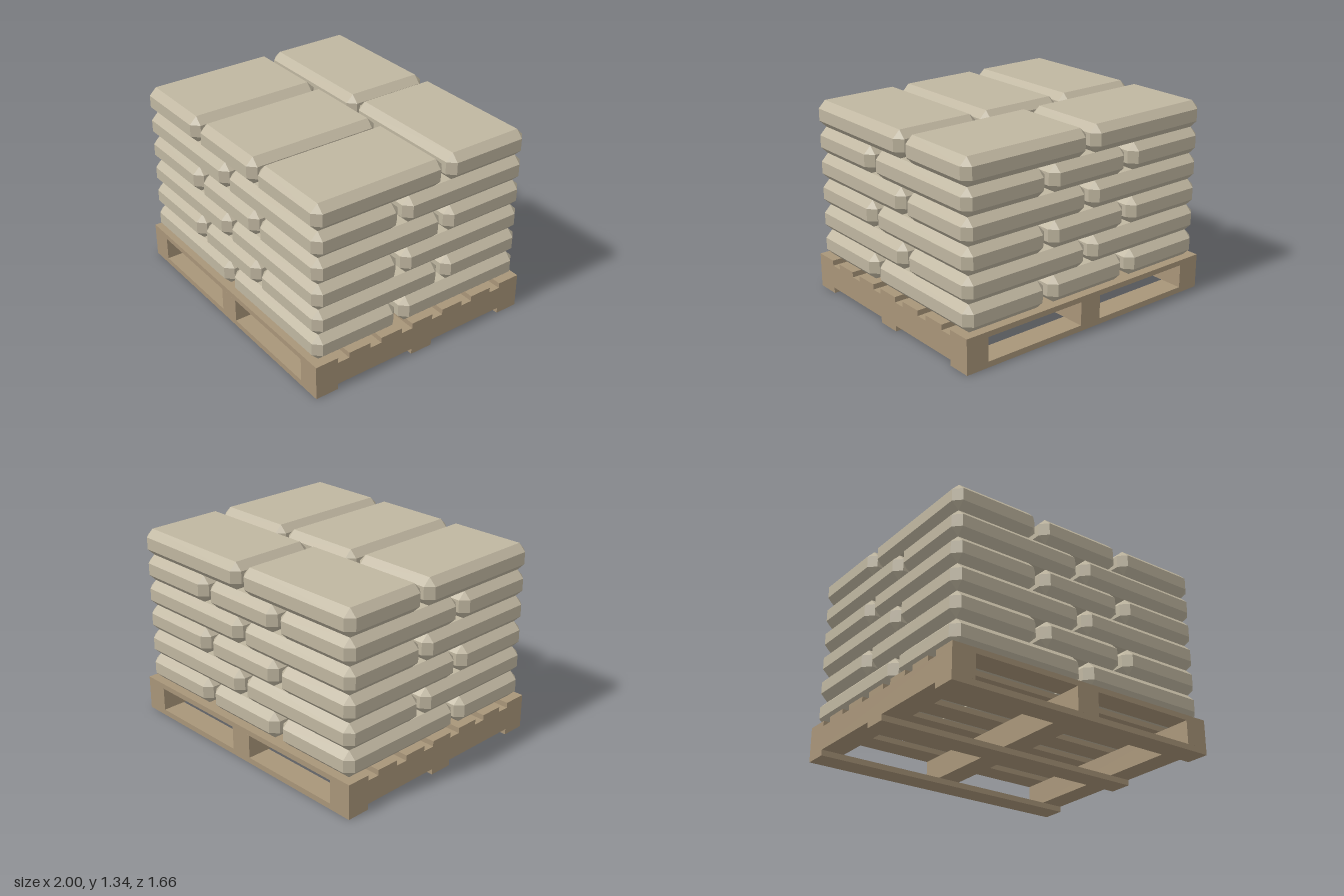
import * as THREE from 'three';
import { ConvexGeometry } from 'three/addons/geometries/ConvexGeometry.js';

const wood = new THREE.MeshStandardMaterial({ color: 0xa89579 });
wood.name = 'palletWood';
const sack = new THREE.MeshStandardMaterial({ color: 0xbfb6a0 });
sack.name = 'sackPaper';

// Box with all edges cut at 45 degrees and triangular corners
function chamferedBox(w, h, d, c) {
  const points = [];
  for (const sx of [-1, 1]) for (const sy of [-1, 1]) for (const sz of [-1, 1]) {
    const x = sx * w / 2, y = sy * h / 2, z = sz * d / 2;
    const ix = x - sx * c, iy = y - sy * c, iz = z - sz * c;
    points.push(
      new THREE.Vector3(x, iy, iz),
      new THREE.Vector3(ix, y, iz),
      new THREE.Vector3(ix, iy, z));
  }
  return new ConvexGeometry(points);
}

function place(parent, name, geometry, material, x, y, z) {
  const mesh = new THREE.Mesh(geometry, material);
  mesh.name = name;
  mesh.position.set(x, y, z);
  parent.add(mesh);
}

function createPallet() {
  const pallet = new THREE.Group();
  pallet.name = 'pallet';
  const topSlat = new THREE.BoxGeometry(2, 0.037, 0.165);
  const stringer = new THREE.BoxGeometry(0.163, 0.165, 1.664);
  const bottomBoard = new THREE.BoxGeometry(2, 0.04, 0.165);
  for (let i = -3; i <= 3; i++) place(pallet, 'topSlat', topSlat, wood, 0, 0.2235, i * 0.2498);
  for (let i = -1; i <= 1; i++) {
    place(pallet, 'stringer', stringer, wood, i * 0.9185, 0.1225, 0);
    place(pallet, 'bottomBoard', bottomBoard, wood, 0, 0.02, i * 0.7494);
  }
  return pallet;
}

function createSacks() {
  const sacks = new THREE.Group();
  sacks.name = 'sackStack';
  const height = 0.1835, base = 0.242;
  const lengthwise = chamferedBox(0.633, height, 0.967, 0.05);
  const crosswise = chamferedBox(0.967, height, 0.633, 0.05);
  for (let level = 0; level < 6; level++) {
    // Each layer is the one below turned end for end, so the joints overlap
    const layer = new THREE.Group();
    layer.name = 'sackLayer';
    layer.position.y = base + height * (level + 0.5);
    const side = level % 2 ? 1 : -1;
    for (const i of [-1, 0, 1]) place(layer, 'lengthwiseSack', lengthwise, sack, i * 0.667, 0, side * 0.334);
    for (const i of [-1, 1]) place(layer, 'crosswiseSack', crosswise, sack, i * 0.5, 0, side * -0.501);
    sacks.add(layer);
  }
  return sacks;
}

export function createModel() {
  const model = new THREE.Group();
  model.name = 'palletOfSacks';
  model.add(createPallet(), createSacks());
  return model;
}
